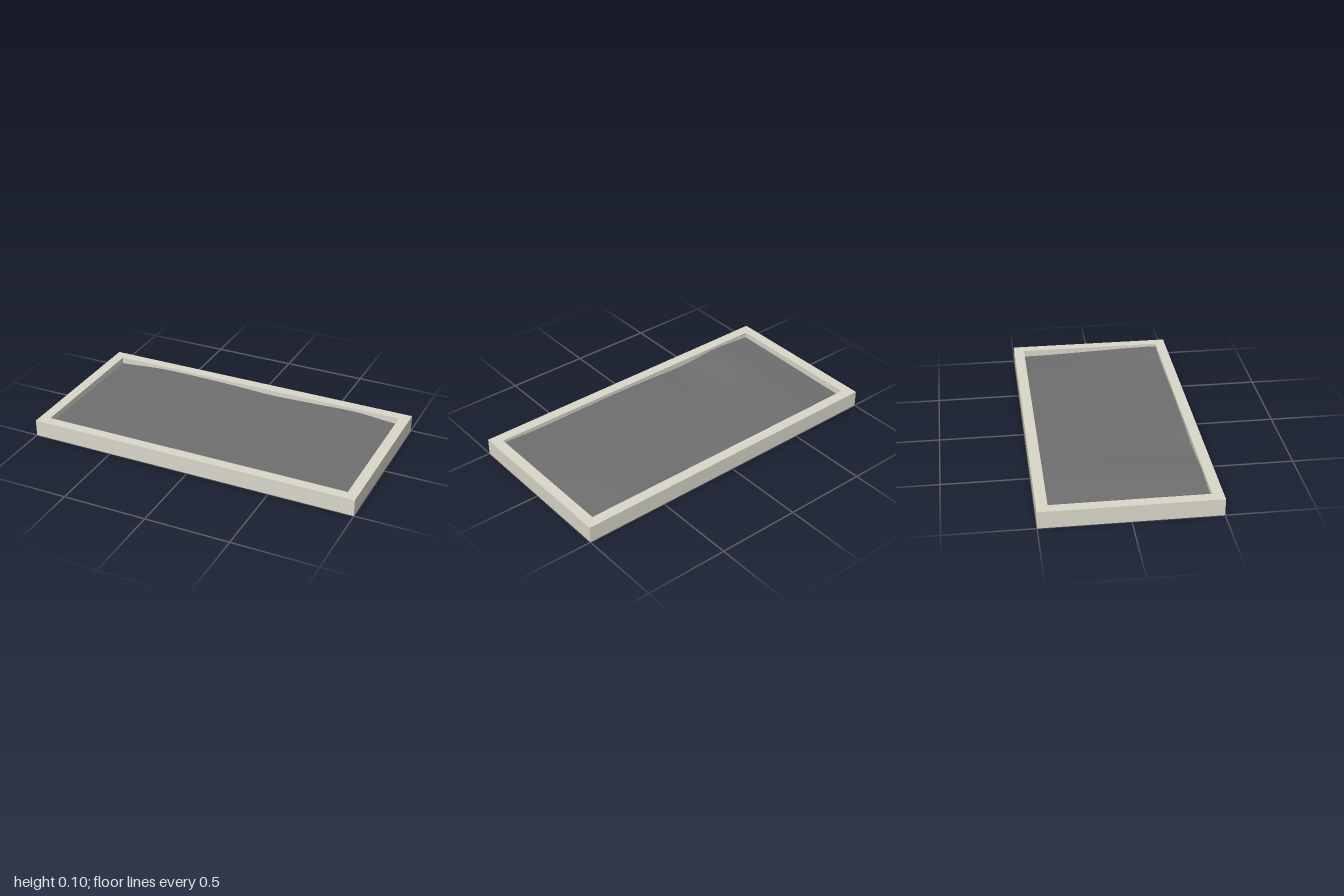
import * as THREE from 'three';

const W = 2, D = 1, H = 0.1, RIM = 0.0625, FLOOR = 0.02;
const IW = W - 2 * RIM, ID = D - 2 * RIM;

const rectangle = (Type, w, d) => new Type([
  new THREE.Vector2(-w / 2, -d / 2), new THREE.Vector2(w / 2, -d / 2),
  new THREE.Vector2(w / 2, d / 2), new THREE.Vector2(-w / 2, d / 2),
]);

// Smooth curve of surface height along x, from evenly spaced samples
function heightCurve(heights) {
  const n = heights.length - 1;
  const curve = new THREE.SplineCurve(heights.map((h, i) => new THREE.Vector2(i / n, h)));
  return (t) => curve.getPoint(t).y;
}

export function createModel() {
  const group = new THREE.Group();
  const stone = new THREE.MeshStandardMaterial({ color: 0xdad8ca });
  const dark = new THREE.MeshStandardMaterial({ color: 0x707070 });

  // Floor slab
  const floor = new THREE.Mesh(new THREE.BoxGeometry(W, FLOOR, D).translate(0, FLOOR / 2, 0), stone);
  floor.name = 'floor';

  // Rectangular rim standing on the slab
  const outline = rectangle(THREE.Shape, W, D);
  outline.holes.push(rectangle(THREE.Path, IW, ID));
  const rimGeometry = new THREE.ExtrudeGeometry(outline, { depth: H - FLOOR, bevelEnabled: false });
  rimGeometry.rotateX(-Math.PI / 2).translate(0, FLOOR, 0);
  const rim = new THREE.Mesh(rimGeometry, stone);
  rim.name = 'rim';

  // Gently rolling filling, blended between its back and front edge heights
  const back = heightCurve([0.06, 0.08, 0.082, 0.076, 0.067, 0.074, 0.08, 0.06]);
  const front = heightCurve([0.066, 0.082, 0.064, 0.073, 0.078, 0.077, 0.073, 0.083]);
  const fillGeometry = new THREE.PlaneGeometry(IW, ID, 64, 32).rotateX(-Math.PI / 2);
  const p = fillGeometry.attributes.position;
  for (let i = 0; i < p.count; i++) {
    const u = THREE.MathUtils.clamp(p.getX(i) / IW + 0.5, 0, 1);
    const v = THREE.MathUtils.smoothstep(p.getZ(i) / ID + 0.5, 0, 1);
    p.setY(i, THREE.MathUtils.lerp(back(u), front(u), v));
  }
  fillGeometry.computeVertexNormals();
  const filling = new THREE.Mesh(fillGeometry, dark);
  filling.name = 'filling';

  group.add(floor, rim, filling);
  return group;
}
